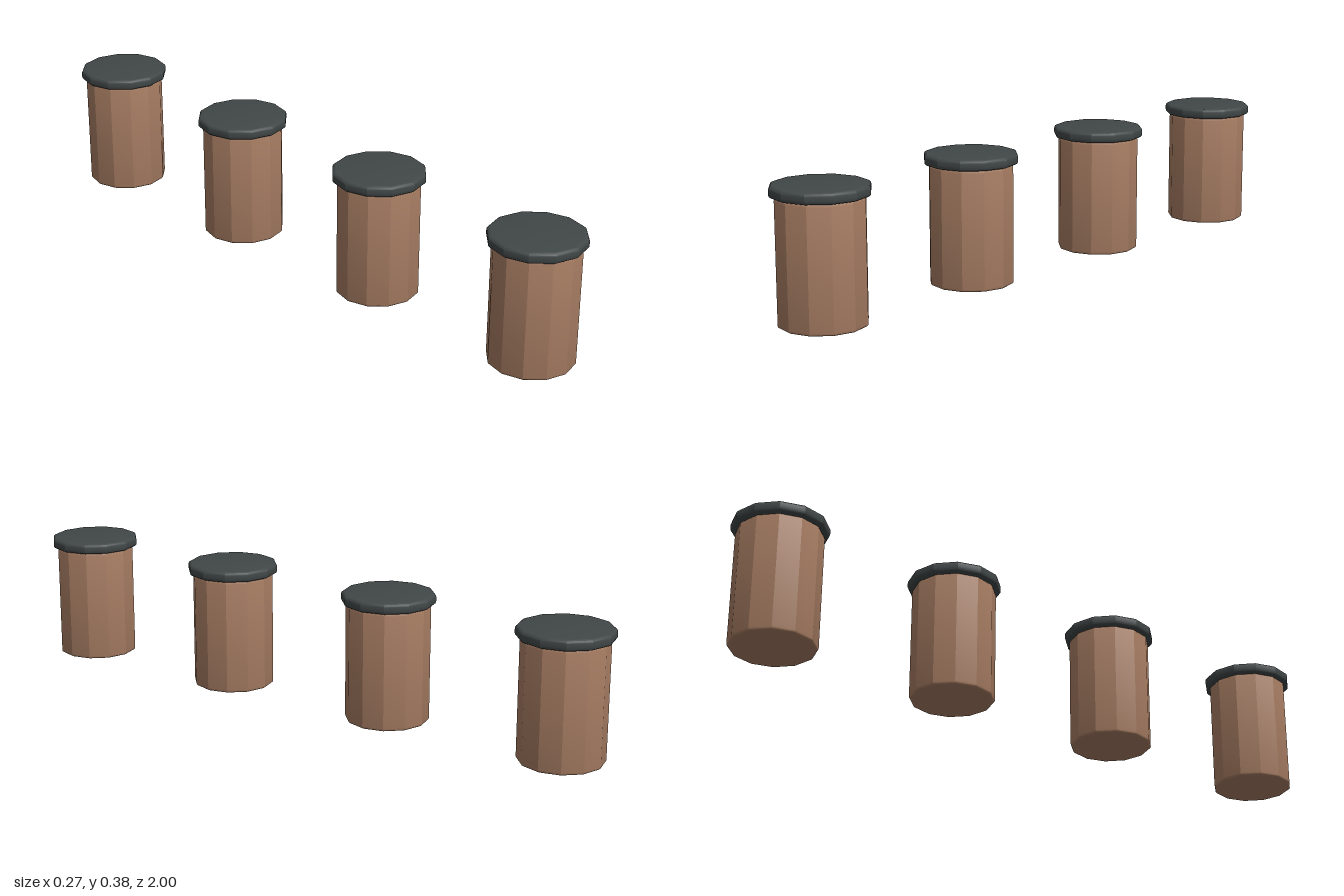
import * as THREE from 'three';
import { toCreasedNormals } from 'three/addons/utils/BufferGeometryUtils.js';

const SIDES = 12;

// Twelve-sided solid with rounded top and bottom rims
function roundedPrism(radius, y0, y1, bevel) {
  const steps = 4;
  const points = [new THREE.Vector2(0, y0)];
  for (let i = 0; i <= steps; i++) {
    const a = (i / steps) * Math.PI / 2;
    points.push(new THREE.Vector2(radius - bevel + bevel * Math.sin(a), y0 + bevel - bevel * Math.cos(a)));
  }
  for (let i = 0; i <= steps; i++) {
    const a = (i / steps) * Math.PI / 2;
    points.push(new THREE.Vector2(radius - bevel + bevel * Math.cos(a), y1 - bevel + bevel * Math.sin(a)));
  }
  points.push(new THREE.Vector2(0, y1));
  // Rims stay smooth while the side facets keep sharp edges
  return toCreasedNormals(new THREE.LatheGeometry(points, SIDES), THREE.MathUtils.degToRad(26));
}

export function createModel() {
  const model = new THREE.Group();
  model.name = 'canisterRow';

  const clay = new THREE.MeshStandardMaterial({ color: 0xa67c62 });
  clay.name = 'clayBrown';
  const charcoal = new THREE.MeshStandardMaterial({ color: 0x414747 });
  charcoal.name = 'charcoal';

  const bodyGeometry = roundedPrism(0.122, 0, 0.348, 0.008);
  const lidGeometry = roundedPrism(0.136, 0.347, 0.379, 0.01);

  // Four equal canisters in a row along z
  for (let i = 0; i < 4; i++) {
    const canister = new THREE.Group();
    canister.name = `canister${i + 1}`;
    canister.position.z = (i - 1.5) * 0.576;

    const body = new THREE.Mesh(bodyGeometry, clay);
    body.name = 'body';
    const lid = new THREE.Mesh(lidGeometry, charcoal);
    lid.name = 'lid';

    canister.add(body, lid);
    model.add(canister);
  }
  return model;
}
